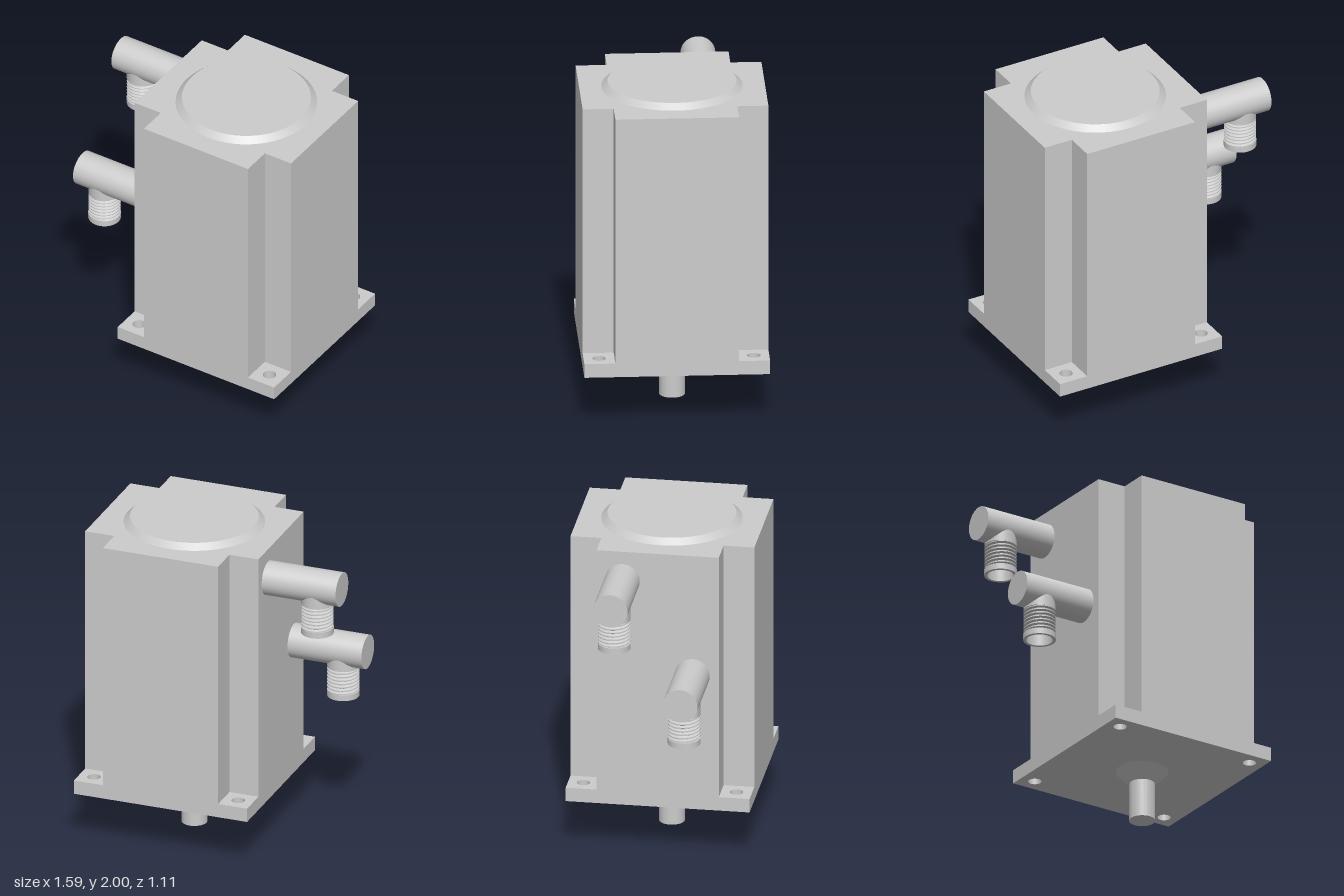
import * as THREE from 'three';
import { toCreasedNormals } from 'three/addons/utils/BufferGeometryUtils.js';

const material = new THREE.MeshStandardMaterial({ color: 0xcccccc });
const AXIS_X = 0.235; // centre of the motor body
const HALF = 0.556; // half width of the body
const NOTCH = 0.186; // size of the corner recesses

function part(name, geometry, x = 0, y = 0, z = 0) {
  const mesh = new THREE.Mesh(geometry, material);
  mesh.name = name;
  mesh.position.set(x, y, z);
  return mesh;
}

// Extrude a plan-view outline upwards
function extrudeUp(shape, height) {
  return new THREE.ExtrudeGeometry(shape, { depth: height, bevelEnabled: false, curveSegments: 24 })
    .rotateX(-Math.PI / 2);
}

function lathe(points, segments = 48) {
  const profile = points.map(([r, y]) => new THREE.Vector2(r, y));
  return toCreasedNormals(new THREE.LatheGeometry(profile, segments), 0.5);
}

// Square outline with its four corners cut out
function bodyShape() {
  const a = HALF, b = HALF - NOTCH;
  return new THREE.Shape([
    [a, -b], [a, b], [b, b], [b, a], [-b, a], [-b, b],
    [-a, b], [-a, -b], [-b, -b], [-b, -a], [b, -a], [b, -b],
  ].map(([x, y]) => new THREE.Vector2(x, y)));
}

// Square plate with a bolt hole in each corner
function flangeShape() {
  const a = HALF, h = 0.463;
  const shape = new THREE.Shape([[-a, -a], [a, -a], [a, a], [-a, a]].map(([x, y]) => new THREE.Vector2(x, y)));
  for (const sx of [-1, 1]) {
    for (const sy of [-1, 1]) {
      shape.holes.push(new THREE.Path().absarc(sx * h, sy * h, 0.04, 0, Math.PI * 2, true));
    }
  }
  return shape;
}

// Zigzag profile turned about y, climbing one pitch per turn to form a helix
function threadGeometry(bottom, turns, pitch) {
  const root = 0.083, crest = 0.097, points = [];
  for (let i = 0; i < turns; i++) {
    const y = bottom + i * pitch;
    points.push(new THREE.Vector2(root, y), new THREE.Vector2(root, y + pitch * 0.15),
      new THREE.Vector2(crest, y + pitch * 0.45), new THREE.Vector2(crest, y + pitch * 0.7));
  }
  points.push(new THREE.Vector2(root, bottom + turns * pitch));
  const geometry = new THREE.LatheGeometry(points, 40);
  const pos = geometry.attributes.position;
  for (let i = 0; i < pos.count; i++) {
    const turn = Math.floor(i / points.length) / 40;
    pos.setY(i, pos.getY(i) + pitch * turn);
  }
  return toCreasedNormals(geometry, 0.5);
}

// Side tube with a hollow threaded port hanging below it; origin on the tube axis
function connector(name, y, z) {
  const group = new THREE.Group();
  group.name = name;
  const start = -0.795, end = -0.31, portX = -0.638;
  const tube = new THREE.CylinderGeometry(0.105, 0.105, end - start, 48).rotateZ(Math.PI / 2);
  group.add(part('connectorTube', tube, (start + end) / 2));
  group.add(part('portNeck', new THREE.CylinderGeometry(0.097, 0.097, 0.115, 40), portX, -0.0575));
  group.add(part('portThread', threadGeometry(-0.288, 8, 0.0225), portX));
  // Collar ring and the blind bore inside the thread
  group.add(part('portCollar', lathe([
    [0, -0.12], [0.08, -0.12], [0.08, -0.305], [0.098, -0.305], [0.098, -0.268], [0.08, -0.268],
  ].slice(2), 40), portX));
  const bore = part('portBore', lathe([[0, -0.12], [0.08, -0.12], [0.08, -0.305]], 40), portX);
  bore.material = new THREE.MeshStandardMaterial({ color: 0xcccccc, side: THREE.DoubleSide });
  group.add(bore);
  group.position.set(0, y, z);
  return group;
}

export function createModel() {
  const model = new THREE.Group();
  model.name = 'motor';

  // Housing
  model.add(part('flange', extrudeUp(flangeShape(), 0.087), AXIS_X, 0.32));
  model.add(part('body', extrudeUp(bodyShape(), 1.56), AXIS_X, 0.405));
  model.add(part('topCap', lathe([[0.423, 1.96], [0.423, 1.965], [0.385, 2], [0, 2]], 64), AXIS_X));

  // Output shaft with its conical boss
  model.add(part('shaft', lathe([[0, 0], [0.078, 0], [0.078, 0.24], [0.158, 0.32], [0.158, 0.33]]), AXIS_X));

  // Cable connectors at two heights
  model.add(connector('upperConnector', 1.78, -0.213));
  model.add(connector('lowerConnector', 1.19, 0.21));
  return model;
}
